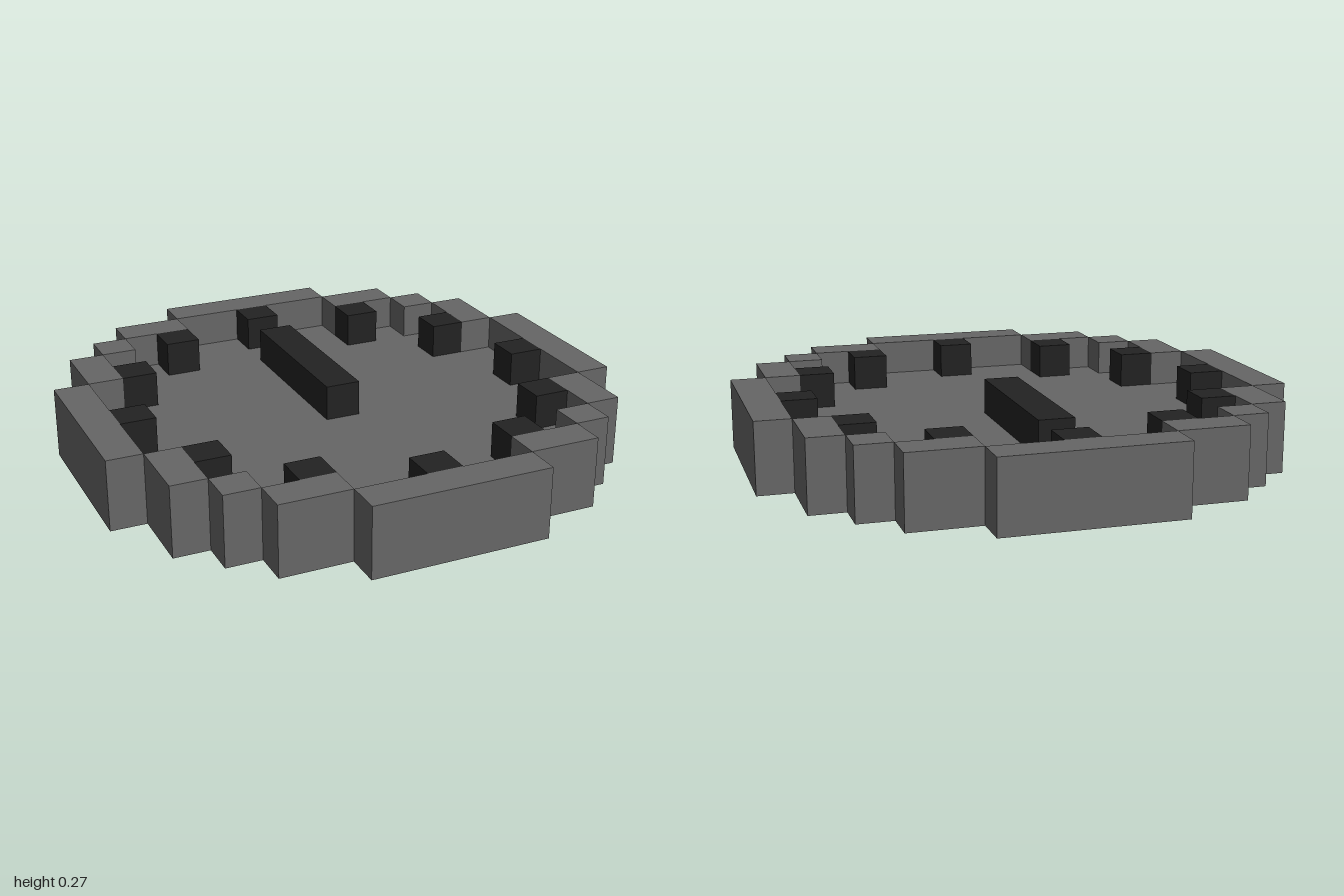
import * as THREE from 'three';

const U = 2 / 15; // one block

export function createModel() {
  const model = new THREE.Group();
  model.name = 'clock';
  const grey = new THREE.MeshStandardMaterial({ name: 'stone grey', color: 0x666666 });
  const black = new THREE.MeshStandardMaterial({ name: 'black', color: 0x222222 });

  // Box from block-unit size, centre (x, z) and bottom y
  const block = (name, mat, w, h, d, x, y, z) => {
    const mesh = new THREE.Mesh(new THREE.BoxGeometry(w * U, h * U, d * U), mat);
    mesh.position.set(x * U, (y + h / 2) * U, z * U);
    mesh.name = name;
    model.add(mesh);
  };

  // Face: stepped disc, one block thick, inside the rim
  const quarter = [[6.5, 2.5], [5.5, 2.5], [5.5, 4.5], [4.5, 4.5], [4.5, 5.5], [2.5, 5.5], [2.5, 6.5]];
  const back = [...quarter].reverse();
  const outline = [
    ...quarter,
    ...back.map(([x, y]) => [-x, y]),
    ...quarter.map(([x, y]) => [-x, -y]),
    ...back.map(([x, y]) => [x, -y]),
  ].map(([x, y]) => new THREE.Vector2(x * U, y * U));
  const faceGeo = new THREE.ExtrudeGeometry(new THREE.Shape(outline), { depth: U, bevelEnabled: false });
  faceGeo.rotateX(-Math.PI / 2);
  const face = new THREE.Mesh(faceGeo, grey);
  face.name = 'clockFace';
  model.add(face);

  // Rim: two blocks tall, stepping around the face
  for (const s of [-1, 1]) {
    block('rim', grey, 5, 2, 1, 0, 0, 7 * s);
    block('rim', grey, 1, 2, 5, 7 * s, 0, 0);
    for (const t of [-1, 1]) {
      block('rim', grey, 2, 2, 1, 3.5 * s, 0, 6 * t);
      block('rim', grey, 1, 2, 1, 5 * s, 0, 5 * t);
      block('rim', grey, 1, 2, 2, 6 * s, 0, 3.5 * t);
    }
  }

  // Twelve hour markers
  for (const s of [-1, 1]) {
    block('hourMarker', black, 1, 1, 1, 0, 1, 6 * s);
    block('hourMarker', black, 1, 1, 1, 6 * s, 1, 0);
    for (const t of [-1, 1]) {
      block('hourMarker', black, 1, 1, 1, 3 * s, 1, 5 * t);
      block('hourMarker', black, 1, 1, 1, 5 * s, 1, 3 * t);
    }
  }

  // Hand pointing to twelve
  block('hand', black, 1, 1, 5, 0, 1, -2);

  return model;
}
